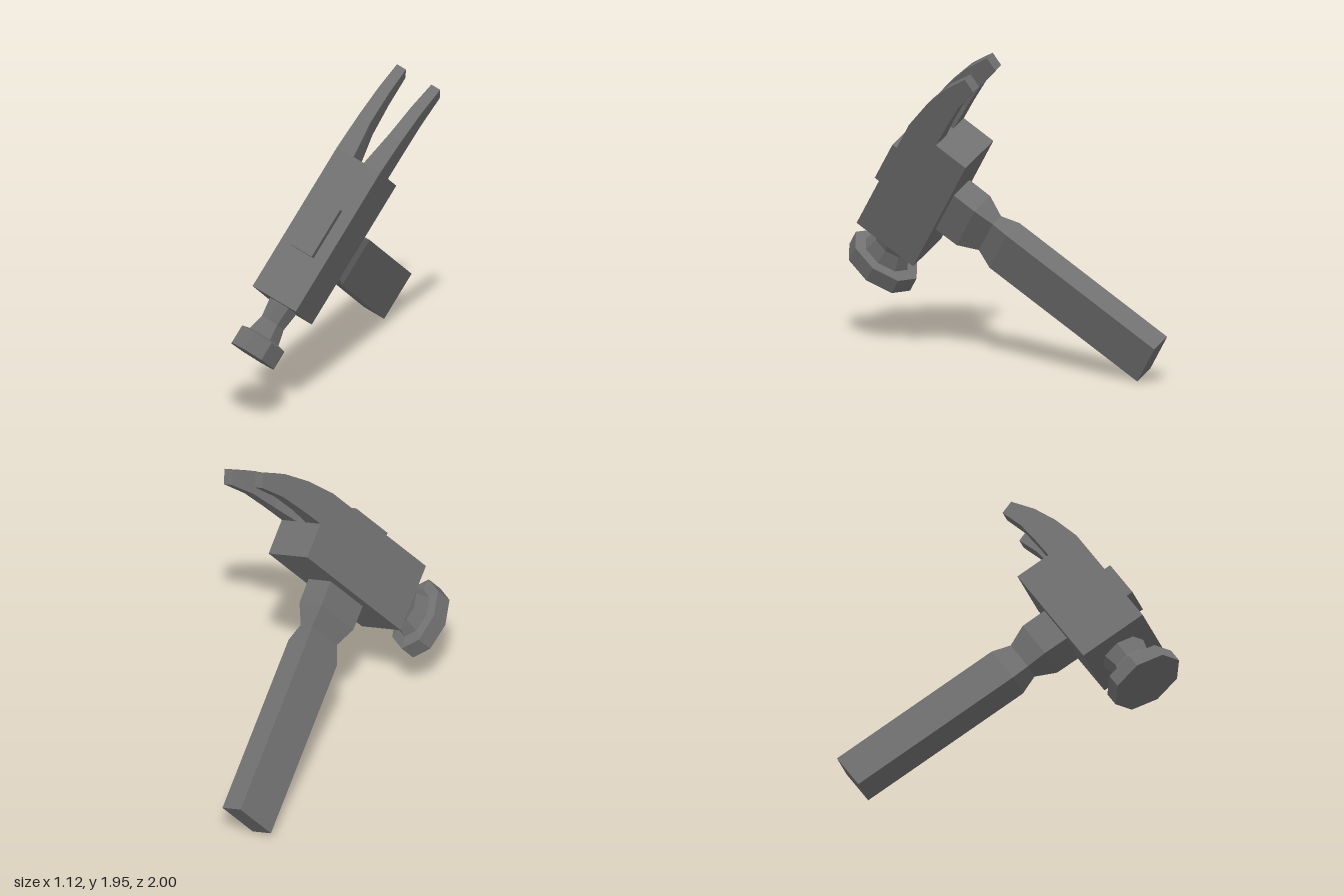
import * as THREE from 'three';

const material = new THREE.MeshStandardMaterial({ color: 0x707070, flatShading: true });

// Closed loft through rings of [x, y, z] points, wound so the faces point outward
function loft(rings) {
  const tris = [];
  const n = rings[0].length;
  for (let i = 0; i < rings.length - 1; i++) {
    for (let j = 0; j < n; j++) {
      const k = (j + 1) % n;
      const a = rings[i][j], b = rings[i][k], c = rings[i + 1][k], d = rings[i + 1][j];
      tris.push([a, b, c], [a, c, d]);
    }
  }
  const first = rings[0], last = rings[rings.length - 1];
  for (let j = 1; j < n - 1; j++) {
    tris.push([first[0], first[j + 1], first[j]], [last[0], last[j], last[j + 1]]);
  }
  // A negative enclosed volume means the winding is inside out
  let volume = 0;
  for (const t of tris) {
    const [a, b, c] = t.map((p) => new THREE.Vector3(...p));
    volume += a.dot(b.cross(c));
  }
  if (volume < 0) tris.forEach((t) => t.reverse());
  const geometry = new THREE.BufferGeometry();
  geometry.setAttribute('position', new THREE.Float32BufferAttribute(tris.flat(2), 3));
  geometry.computeVertexNormals();
  return geometry;
}

function box(x0, x1, y0, y1, halfZ) {
  return new THREE.BoxGeometry(x1 - x0, y1 - y0, halfZ * 2)
    .translate((x0 + x1) / 2, (y0 + y1) / 2, 0);
}

export function createModel() {
  const model = new THREE.Group();
  model.name = 'hammer';

  // Hammer frame: x runs from striking face to claw, y up the handle, z across
  const hammer = new THREE.Group();
  hammer.name = 'tiltedHammer';
  model.add(hammer);
  const add = (name, geometry) => {
    const mesh = new THREE.Mesh(geometry, material);
    mesh.name = name;
    hammer.add(mesh);
  };

  // Head block and the raised plate on top, where the handle comes through
  add('headBlock', box(0.115, 1.047, 0.767, 1.18, 0.15));
  add('topPlate', box(0.43, 0.745, 1.17, 1.228, 0.075));

  // Handle: straight grip, pinched waist, then a wider collar: [y, x min, x max, half z]
  const handle = [
    [-0.695, 0.414, 0.717, 0.07],
    [0.385, 0.414, 0.717, 0.07],
    [0.495, 0.45, 0.695, 0.045],
    [0.615, 0.412, 0.73, 0.085],
    [0.78, 0.41, 0.732, 0.085],
  ];
  add('handle', loft(handle.map(([y, x0, x1, z]) => [
    [x0, y, -z], [x1, y, -z], [x1, y, z], [x0, y, z],
  ])));

  // Striking face and neck: stretched octagons, [x, scale]
  const poll = [[-0.222, 1], [-0.107, 1], [-0.095, 0.68], [0, 0.52], [0.13, 0.64]];
  add('strikingFace', loft(poll.map(([x, s]) => Array.from({ length: 8 }, (_, i) => {
    const a = (i * Math.PI) / 4;
    return [x, 0.97 + Math.cos(a) * 0.222 * s, 0.006 + Math.sin(a) * 0.145 * s];
  }))));

  // Claw prongs: [top x, top y, bottom x, bottom y, inner z]
  const claw = [
    [1.045, 1.18, 1.045, 0.983, 0.035],
    [1.27, 1.145, 1.22, 0.98, 0.066],
    [1.465, 1.092, 1.412, 0.971, 0.078],
    [1.638, 1.015, 1.598, 0.936, 0.088],
  ];
  for (const [name, side] of [['leftClaw', 1], ['rightClaw', -1]]) {
    add(name, loft(claw.map(([tx, ty, bx, by, z]) => [
      [tx, ty, side * z], [tx, ty, side * 0.15], [bx, by, side * 0.15], [bx, by, side * z],
    ])));
  }

  // Tilt the whole hammer so that it leans on the handle end
  const along = new THREE.Vector3(0.468, 0.768, -0.437).normalize();
  const across = along.clone().cross(new THREE.Vector3(-0.116, 0.549, 0.828)).normalize();
  const up = across.clone().cross(along);
  hammer.applyMatrix4(new THREE.Matrix4().makeBasis(along, up, across)
    .setPosition(across.clone().multiplyScalar(-0.25)));
  return model;
}
